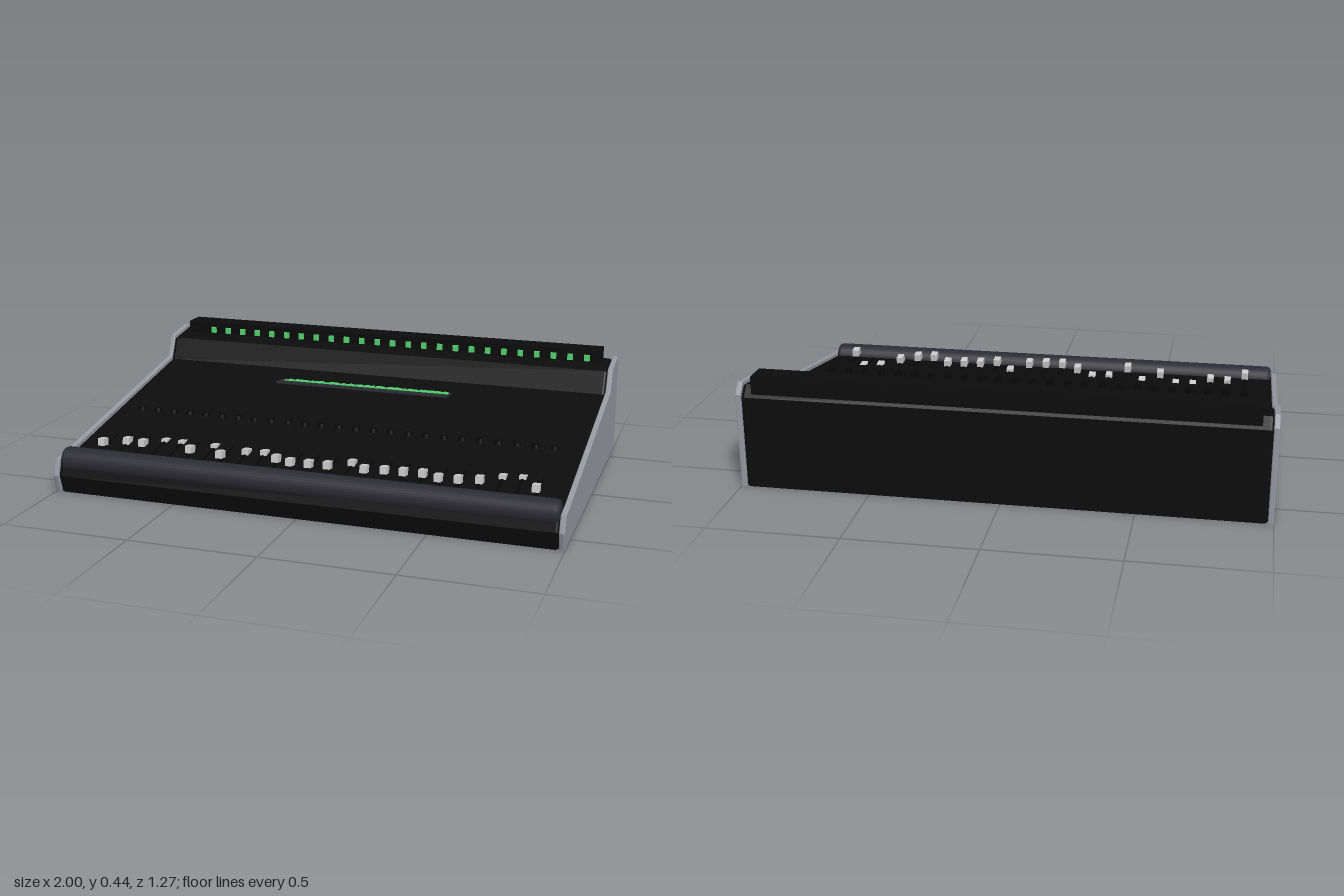
import * as THREE from 'three';

const mat = (name, color) => Object.assign(new THREE.MeshStandardMaterial({ color }), { name });

export function createModel() {
  const console_ = new THREE.Group();
  console_.name = 'mixingConsole';
  const black = mat('black casing', 0x0c0c0c);
  const recess = mat('deep black', 0x060606);
  const grey = mat('grey side panel', 0x979ba2);
  const pad = mat('dark slate', 0x2b2b33);
  const silver = mat('light cap', 0xcccccc);
  const green = mat('green light', 0x55d973);

  const add = (name, geometry, material, x = 0, y = 0, z = 0, tilt = 0, parent = console_) => {
    const m = new THREE.Mesh(geometry, material);
    m.name = name;
    m.position.set(x, y, z);
    m.rotation.x = tilt;
    parent.add(m);
    return m;
  };
  const group = (name) => {
    const g = new THREE.Group();
    g.name = name;
    console_.add(g);
    return g;
  };

  // Wedge profile as [z, y], extruded across x and centred
  const profile = [[0.617, 0], [0.636, 0.07], [0.617, 0.133], [0.53, 0.143], [-0.416, 0.303],
    [-0.457, 0.392], [-0.6, 0.412], [-0.634, 0.371], [-0.634, 0]];
  const wedge = (points, width, bevel, segments) => {
    const shape = new THREE.Shape(points.map(([z, y]) => new THREE.Vector2(z, y)));
    const g = new THREE.ExtrudeGeometry(shape, {
      depth: width - 2 * bevel, bevelEnabled: true, bevelSize: bevel, bevelOffset: -bevel,
      bevelThickness: bevel, bevelSegments: segments,
    });
    g.translate(0, 0, bevel - width / 2);
    return g.rotateY(-Math.PI / 2);
  };

  // Main casing, set slightly below the side panels
  const inner = profile.map(([z, y]) => [z - Math.sign(z) * 0.004, y > 0.13 ? y - 0.01 : y]);
  add('casing', wedge(inner, 1.96, 0.014, 3), black);
  for (const s of [-1, 1]) {
    add(s > 0 ? 'leftSidePanel' : 'rightSidePanel', wedge(profile, 0.021, 0.004, 2), grey, s * 0.9895);
  }

  // Padded armrest roll with softened ends
  const roll = [[0, -0.976], [0.035, -0.976], [0.046, -0.97], [0.0505, -0.958],
    [0.0505, 0.958], [0.046, 0.97], [0.035, 0.976], [0, 0.976]].map(([r, h]) => new THREE.Vector2(r, h));
  add('armrest', new THREE.LatheGeometry(roll, 32).rotateZ(Math.PI / 2), pad, 0, 0.124, 0.576);

  // Meter bridge along the back with a row of lights
  add('meterBridge', new THREE.BoxGeometry(1.876, 0.07, 0.095), black, -0.002, 0.41, -0.5825);
  const lights = group('bridgeLights');
  const lightGeo = new THREE.BoxGeometry(0.023, 0.026, 0.009);
  for (let i = 0; i < 25; i++) {
    add('bridgeLight', lightGeo, green, -0.818 + i * 0.0708, 0.413, -0.528, 0, lights);
  }

  // Channel strips: slot, fader cap and knob
  const slope = 0.1676, deckY = (z) => 0.2225 - 0.169 * z;
  const faderZ = [0.465, 0.395, 0.405, 0.345, 0.345, 0.433, 0.353, 0.47, 0.38, 0.37, 0.435, 0.475, 0.47,
    0.46, 0.38, 0.46, 0.44, 0.435, 0.425, 0.475, 0.465, 0.43, 0.36, 0.345, 0.475];
  const channels = group('channels');
  const capGeo = new THREE.BoxGeometry(0.027, 0.029, 0.038);
  const slotGeo = new THREE.BoxGeometry(0.009, 0.004, 0.16);
  const knobGeo = new THREE.CylinderGeometry(0.014, 0.016, 0.016, 16);
  faderZ.forEach((z, i) => {
    const x = -0.866 + i * 0.0722;
    add('faderSlot', slotGeo, recess, x, deckY(0.42), 0.42, slope, channels);
    add('faderCap', capGeo, silver, x, 0.174 - 0.14 * (0.475 - z), z + 0.003, -0.14, channels);
    add('knob', knobGeo, recess, x, deckY(0.118) + 0.012, 0.118, -0.1, channels);
  });

  // Level display, tipped toward the back, with a spectrum of bars
  const display = group('levelDisplay');
  display.position.set(-0.015, 0.2795, -0.247);
  display.rotation.x = -0.12;
  add('displayPlate', new THREE.BoxGeometry(0.75, 0.008, 0.094), pad, 0, 0, 0, 0, display);
  let seed = 11;
  const random = () => (seed = (seed * 16807) % 2147483647) / 2147483647;
  const count = 72, step = 0.725 / count;
  for (let i = 0; i < count; i++) {
    const length = 0.022 + 0.03 * Math.min(1, random() * 1.7);
    add('levelBar', new THREE.BoxGeometry(step * 0.88, 0.003, length), green,
      -0.354 + (i + 0.5) * step, 0.005, 0.004 - length / 2, 0, display);
  }
  return console_;
}
